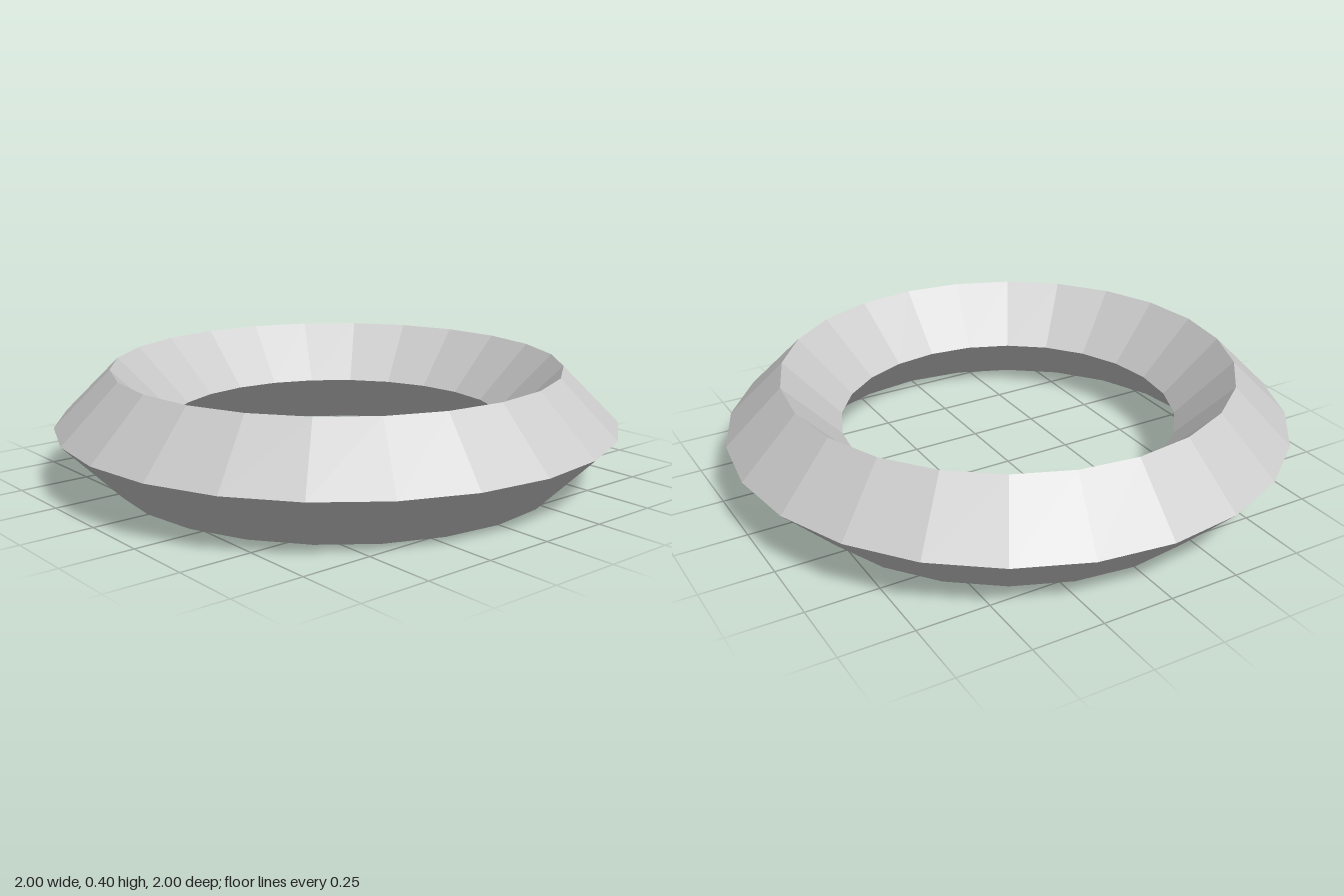
import * as THREE from 'three';

export function createModel() {
  const group = new THREE.Group();

  // Low-poly ring with a diamond cross-section, lying flat on the ground
  const tube = 0.2;
  const geometry = new THREE.TorusGeometry(1 - tube, tube, 4, 24);
  geometry.rotateX(-Math.PI / 2);
  geometry.translate(0, tube, 0);

  const ring = new THREE.Mesh(
    geometry,
    new THREE.MeshStandardMaterial({ color: 0xcccccc, flatShading: true })
  );
  ring.name = 'ring';
  group.add(ring);

  return group;
}
